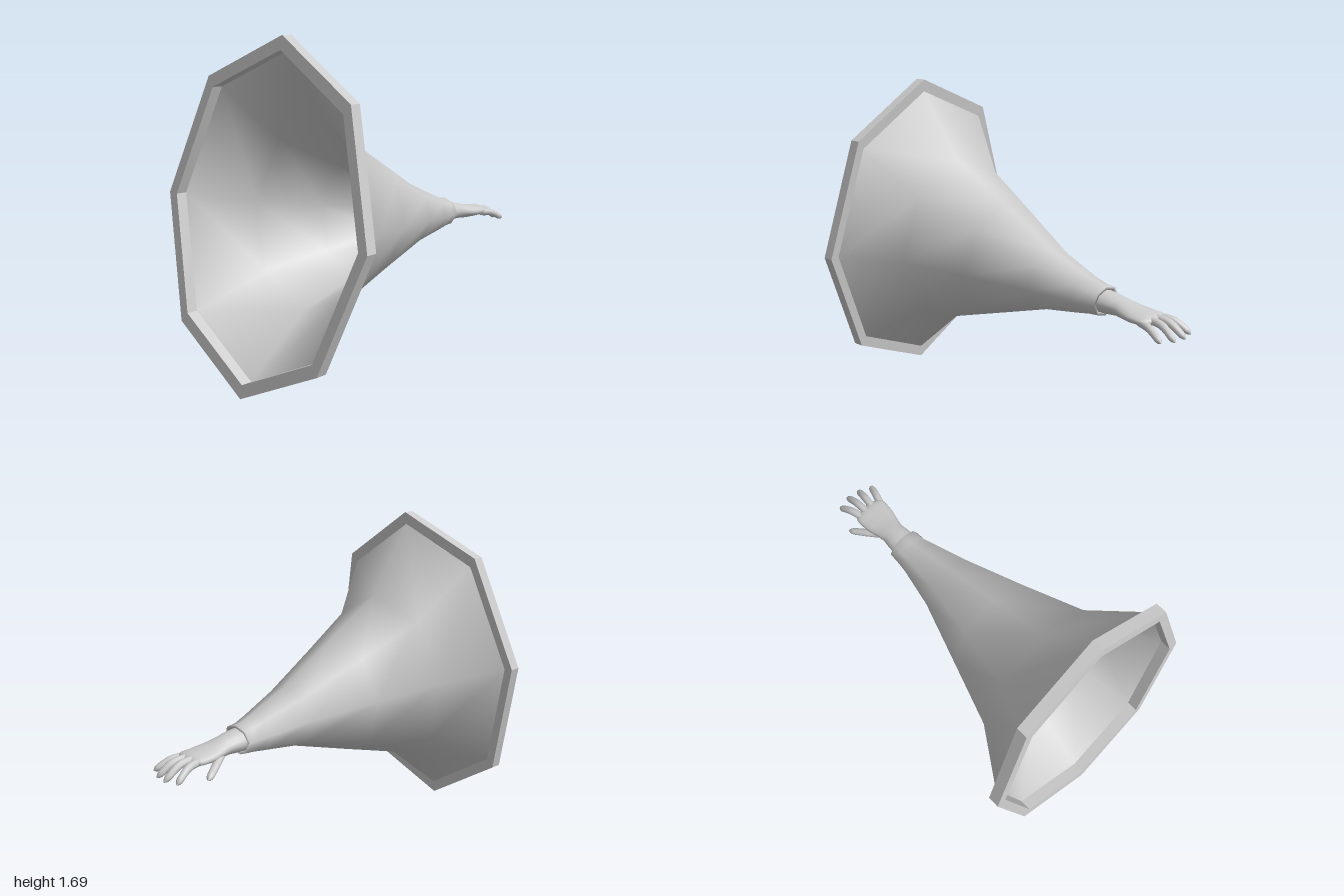
import * as THREE from 'three';
import { toCreasedNormals } from 'three/addons/utils/BufferGeometryUtils.js';

const material = new THREE.MeshStandardMaterial({ color: 0xcccccc, side: THREE.DoubleSide });

// Skin a list of closed rings (clockwise seen from the front, running backwards).
function loft(rings) {
  const n = rings[0].length, index = [];
  for (let i = 0; i < rings.length - 1; i++) {
    for (let j = 0; j < n; j++) {
      const a = i * n + j, b = i * n + (j + 1) % n;
      index.push(a, b, a + n, b, b + n, a + n);
    }
  }
  const geometry = new THREE.BufferGeometry().setFromPoints(rings.flat());
  geometry.setIndex(index);
  geometry.computeVertexNormals();
  return geometry;
}

// Slightly turned, irregular octagon with unit half-width and half-height.
const octagon = [
  [0.08, 1], [0.76, 0.655], [1, -0.09], [0.64, -0.765],
  [-0.08, -1], [-0.77, -0.655], [-1, 0.08], [-0.65, 0.765],
];

// Octagonal ring, its plane tilted by "slope" about the x axis.
function octagonRing(cx, cy, cz, rx, ry, slope) {
  return octagon.map(([x, y]) =>
    new THREE.Vector3(cx + x * rx, cy + y * ry, cz - slope * y * ry));
}

// Oval tube along a smooth path; radii are [along 0..1, half-width, half-height].
function limb(path, radii, steps, sides) {
  const curve = new THREE.CatmullRomCurve3(path.map((p) => new THREE.Vector3(...p)));
  const up = new THREE.Vector3(0, 1, 0);
  const rings = [];
  for (let i = 0; i <= steps; i++) {
    const t = i / steps, p = curve.getPointAt(t), d = curve.getTangentAt(t);
    const right = d.clone().cross(up).normalize();
    const top = right.clone().cross(d);
    let k = 0;
    while (k < radii.length - 2 && t > radii[k + 1][0]) k++;
    const [t0, w0, h0] = radii[k], [t1, w1, h1] = radii[k + 1];
    const f = THREE.MathUtils.clamp((t - t0) / (t1 - t0), 0, 1);
    const w = THREE.MathUtils.lerp(w0, w1, f), h = THREE.MathUtils.lerp(h0, h1, f);
    const ring = [];
    for (let j = 0; j < sides; j++) {
      const a = (j / sides) * Math.PI * 2;
      ring.push(p.clone().addScaledVector(right, Math.sin(a) * w)
        .addScaledVector(top, Math.cos(a) * h));
    }
    rings.push(ring);
  }
  return loft(rings);
}

export function createModel() {
  const group = new THREE.Group();
  const add = (name, geometry, parent = group) => {
    const mesh = new THREE.Mesh(geometry, material);
    mesh.name = name;
    parent.add(mesh);
  };

  // Flat hem band around the wide opening
  const hem = (scale, back) =>
    octagonRing(0, 0.855, 0.893 - back, 0.647 * scale, 0.845 * scale, 0.125);
  add('hem', toCreasedNormals(
    loft([hem(1, 0), hem(1, 0.06), hem(0.92, 0.06), hem(0.92, 0), hem(1, 0)]), 0.5));

  // Flared sleeve, with the narrow end folded inwards
  add('sleeve', loft([
    [0, 0.855, 0.833, 0.6, 0.78, 0.125],
    [0.005, 0.815, 0.535, 0.405, 0.465, 0.118],
    [0.01, 0.775, 0.18, 0.285, 0.315, 0.12],
    [0.02, 0.735, -0.17, 0.172, 0.165, 0.12],
    [0.015, 0.707, -0.4, 0.115, 0.103, 0.1],
    [0.01, 0.7, -0.48, 0.1, 0.083, 0.1],
    [0.01, 0.699, -0.53, 0.098, 0.078, 0.1],
    [0.01, 0.699, -0.53, 0.08, 0.062, 0.1],
    [0.01, 0.699, -0.47, 0.08, 0.062, 0.1],
  ].map((r) => octagonRing(...r))));

  const hand = new THREE.Group();
  hand.name = 'hand';
  group.add(hand);

  // Wrist widening into the palm
  add('palm', limb(
    [[0.01, 0.7, -0.5], [0.01, 0.692, -0.62], [0.012, 0.678, -0.72], [0.015, 0.672, -0.86]],
    [[0, 0.078, 0.06], [0.2, 0.074, 0.054], [0.34, 0.067, 0.047], [0.45, 0.074, 0.042],
      [0.65, 0.091, 0.036], [0.85, 0.096, 0.028], [0.94, 0.086, 0.022], [1, 0.004, 0.004]],
    24, 16), hand);

  // Fingers, bent downwards towards the tips
  const taper = [[0, 0.021, 0.02], [0.5, 0.021, 0.019], [0.85, 0.019, 0.017],
    [0.93, 0.014, 0.013], [1, 0.001, 0.001]];
  const fingers = {
    indexFinger: [[-0.04, 0.673, -0.8], [-0.06, 0.665, -0.89], [-0.083, 0.61, -0.977]],
    middleFinger: [[-0.005, 0.678, -0.8], [-0.007, 0.67, -0.9], [-0.01, 0.608, -0.998]],
    ringFinger: [[0.035, 0.676, -0.8], [0.048, 0.667, -0.9], [0.062, 0.608, -0.987]],
    littleFinger: [[0.078, 0.668, -0.79], [0.105, 0.658, -0.87], [0.132, 0.615, -0.955]],
    thumb: [[-0.035, 0.668, -0.67], [-0.085, 0.645, -0.745], [-0.14, 0.61, -0.835]],
  };
  for (const [name, path] of Object.entries(fingers)) add(name, limb(path, taper, 16, 10), hand);

  return group;
}
